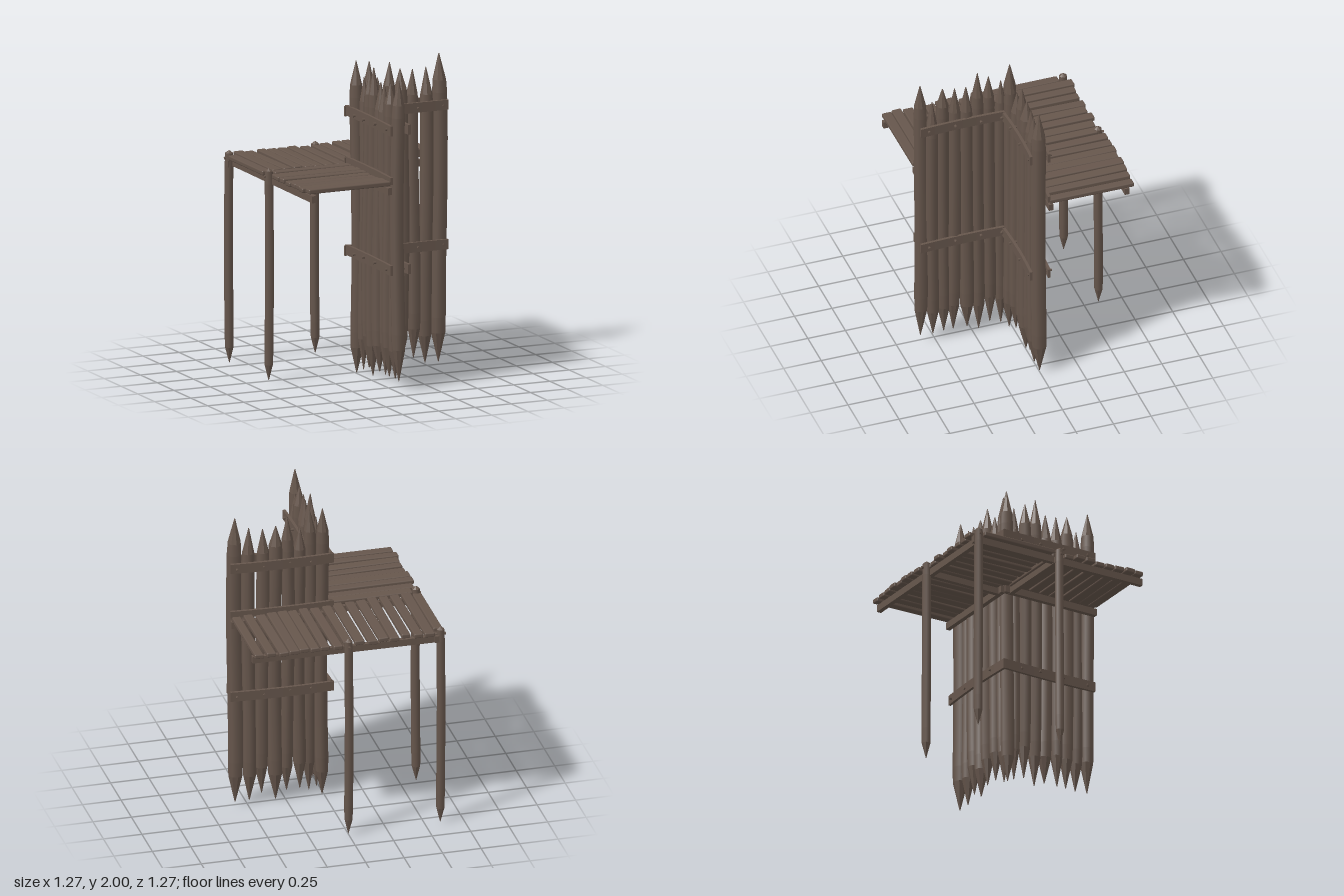
import * as THREE from 'three';
import { mergeGeometries } from 'three/addons/utils/BufferGeometryUtils.js';
import { RoundedBoxGeometry } from 'three/addons/geometries/RoundedBoxGeometry.js';

export function createModel() {
  const model = new THREE.Group();
  model.name = 'palisadeCorner';
  const wood = new THREE.MeshStandardMaterial({ color: 0x66564c });
  wood.name = 'weathered brown wood';

  let seed = 11;
  const jitter = (a) => {
    seed = (seed * 16807) % 2147483647;
    return (seed / 2147483647 - 0.5) * 2 * a;
  };

  const add = (name, geometry, x, y, z, parent = model) => {
    const mesh = new THREE.Mesh(geometry, wood);
    mesh.name = name;
    mesh.position.set(x, y, z);
    parent.add(mesh);
    return mesh;
  };
  const group = (name) => {
    const g = new THREE.Group();
    g.name = name;
    model.add(g);
    return g;
  };

  // Log with faceted pointed ends and a smooth, slightly wandering shaft
  function stakeGeometry(r, low, high, tipLow, tipHigh, wander = 0.006) {
    const y0 = low + tipLow, y1 = high - tipHigh, sides = 8;
    const cyl = (a, b, from, to, rows = 1) => {
      const c = new THREE.CylinderGeometry(b, a, to - from, sides, rows, true);
      return c.translate(0, (from + to) / 2, 0);
    };
    const phase = jitter(3), twist = jitter(3);
    const parts = [
      cyl(r * 0.05, r * 0.93, low, y0),
      cyl(r * 0.93, r, y0, y0 + 0.1),
      cyl(r, r * 0.96, y0 + 0.1, y1 - 0.08, 5),
      cyl(r * 0.96, r * 0.86, y1 - 0.08, y1),
      cyl(r * 0.86, r * 0.05, y1, high),
    ].map((g, i) => {
      g.rotateY(twist);
      const p = g.attributes.position;
      for (let k = 0; k < p.count; k++) {
        const y = p.getY(k);
        p.setX(k, p.getX(k) + wander * Math.sin(y * 3.1 + phase));
        p.setZ(k, p.getZ(k) + wander * Math.cos(y * 2.3 + phase));
      }
      const out = g.toNonIndexed();
      if (i === 0 || i === 4) out.computeVertexNormals();
      return out;
    });
    return mergeGeometries(parts);
  }

  // Stakes: [x, z, top, bottom, radius]
  const backWall = [
    [0.015, 0.005, 2.0, 0.0, 0.044], [0.088, 0.025, 1.995, 0.03, 0.042],
    [0.16, 0.008, 1.88, 0.06, 0.043], [0.238, -0.002, 1.97, 0.06, 0.042],
    [0.32, 0.0, 1.92, 0.01, 0.049], [0.403, -0.002, 1.91, 0.06, 0.045],
    [0.485, 0.01, 1.92, 0.02, 0.045], [0.578, 0.008, 2.0, 0.02, 0.051],
  ];
  const sideWall = [
    [0.035, 0.07, 1.91, 0.03, 0.038], [0.03, 0.145, 1.96, 0.06, 0.042],
    [0.025, 0.218, 2.0, 0.02, 0.042], [0.035, 0.298, 1.92, 0.06, 0.047],
    [0.035, 0.378, 1.92, 0.06, 0.044], [0.03, 0.452, 1.94, 0.06, 0.044],
    [0.04, 0.526, 1.86, 0.06, 0.043], [0.02, 0.597, 1.99, 0.06, 0.046],
  ];
  for (const [name, list] of [['backWall', backWall], ['sideWall', sideWall]]) {
    const wall = group(name);
    for (const [x, z, top, bottom, r] of list)
      add('stake', stakeGeometry(r, bottom, top, 0.185 + jitter(0.02), 0.155 + jitter(0.03)), x, 0, z, wall);
  }

  // Board bowed along its length; runs along x
  function boardGeometry(length, height, depth, bow) {
    const g = new THREE.BoxGeometry(length, height, depth, 6, 1, 1).toNonIndexed();
    const p = g.attributes.position;
    for (let i = 0; i < p.count; i++) {
      const t = (2 * p.getX(i)) / length;
      p.setZ(i, p.getZ(i) + bow * (1 - t * t));
      p.setY(i, p.getY(i) + 0.003 * t);
    }
    g.computeVertexNormals();
    return g;
  }
  const alongX = (name, x0, x1, y, z, h, d, bow, parent) =>
    add(name, boardGeometry(x1 - x0, h, d, bow), (x0 + x1) / 2, y, z, parent);
  const alongZ = (name, z0, z1, y, x, h, d, bow, parent) => {
    const mesh = add(name, boardGeometry(z1 - z0, h, d, bow), x, y, (z0 + z1) / 2, parent);
    mesh.rotation.y = Math.PI / 2;
    return mesh;
  };

  // Rails on both faces of each wall, pinned by pegs
  const rails = group('wallRails');
  for (const y of [0.78, 1.675]) {
    alongX('innerBackRail', 0.085, 0.61, y, 0.07, 0.064, 0.018, -0.01, rails);
    alongX('outerBackRail', -0.05, 0.62, y, -0.047, 0.064, 0.018, -0.012, rails);
    alongZ('innerSideRail', 0.065, 0.62, y, 0.09, 0.064, 0.018, -0.008, rails);
    alongZ('outerSideRail', -0.05, 0.62, y, -0.034, 0.064, 0.018, 0.008, rails);
    for (const t of [0.1, 0.235, 0.405, 0.58]) {
      const peg = (length) => new THREE.CylinderGeometry(0.009, 0.009, length, 6);
      add('backPeg', peg(0.16), t, y + jitter(0.008), 0.004, rails).rotation.x = Math.PI / 2;
      add('sidePeg', peg(0.165), 0.029, y + jitter(0.008), t - 0.015, rails).rotation.z = Math.PI / 2;
    }
  }

  // Platform frame: outer beams, and ledgers against the walls
  const frame = group('platformFrame');
  alongX('backBeam', -0.62, 0.62, 1.29, -0.565, 0.045, 0.03, 0, frame);
  alongZ('sideBeam', -0.6, 0.635, 1.29, -0.575, 0.045, 0.03, 0, frame);
  alongX('backLedger', -0.05, 0.62, 1.29, -0.06, 0.045, 0.03, 0, frame);
  alongZ('sideLedger', -0.05, 0.62, 1.29, -0.045, 0.045, 0.03, 0, frame);
  alongX('backTrim', -0.05, 0.62, 1.355, -0.047, 0.045, 0.018, -0.012, frame);
  alongZ('sideTrim', -0.05, 0.62, 1.355, -0.034, 0.045, 0.018, 0.008, frame);
  alongX('crossBeam', -0.6, -0.04, 1.285, 0.0, 0.04, 0.03, 0, frame);
  alongZ('crossBeam', -0.58, -0.05, 1.285, -0.005, 0.04, 0.03, 0, frame);

  // Deck planks: back deck runs along z, side deck along x
  const deck = group('deckPlanks');
  const plank = (w, d) => new RoundedBoxGeometry(w, 0.03, d, 1, 0.008);
  const backX = [-0.595, -0.525, -0.452, -0.375, -0.3, -0.23, -0.155, -0.075, 0,
    0.076, 0.155, 0.224, 0.29, 0.358, 0.427, 0.508, 0.585];
  backX.forEach((x, i) => {
    const z0 = i === 0 ? -0.54 : i === 8 ? -0.585 : -0.605 - (i > 8 ? 0.02 : 0) + jitter(0.012);
    const z1 = i < 8 ? -0.025 + jitter(0.008) : -0.055;
    const mesh = add('backPlank', plank(0.061 + jitter(0.005), z1 - z0), x, 1.333 + jitter(0.005), (z0 + z1) / 2, deck);
    mesh.rotation.set(jitter(0.008), jitter(0.012), jitter(0.05));
  });
  const sideZ = [0.018, 0.088, 0.166, 0.24, 0.31, 0.385, 0.457, 0.53, 0.598];
  sideZ.forEach((z, i) => {
    const x0 = i === 0 ? -0.575 : -0.615 + jitter(0.01), x1 = -0.042;
    const mesh = add('sidePlank', plank(x1 - x0, 0.064 + jitter(0.004)), (x0 + x1) / 2, 1.333 + jitter(0.005), z, deck);
    mesh.rotation.set(jitter(0.05), jitter(0.015), jitter(0.008));
  });

  // Support posts
  const posts = group('supportPosts');
  for (const [x, z, low] of [[-0.602, -0.575, 0.005], [0, -0.592, 0.01], [-0.602, 0.018, 0.01]])
    add('supportPost', stakeGeometry(0.029, low, 1.37, 0.1, 0.018, 0.003), x, 0, z, posts);
  // Short pegs tying the posts to the beams
  for (const z of [-0.575, 0.018])
    add('postPeg', new THREE.CylinderGeometry(0.009, 0.009, 0.08, 6), -0.595, 1.32, z, posts).rotation.z = Math.PI / 2;
  add('postPeg', new THREE.CylinderGeometry(0.009, 0.009, 0.08, 6), 0, 1.32, -0.59, posts).rotation.x = Math.PI / 2;

  return model;
}
